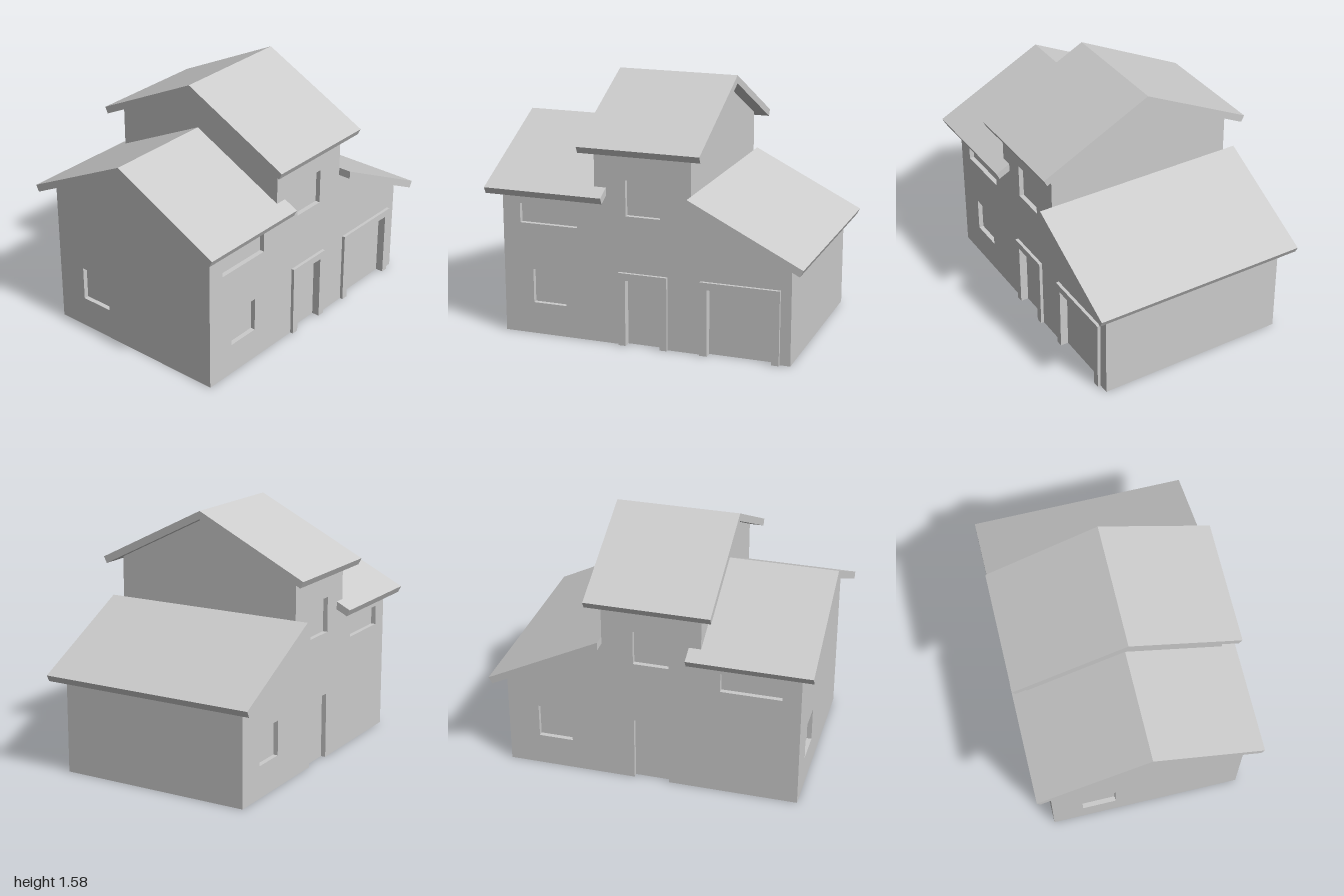
import * as THREE from 'three';

const material = new THREE.MeshStandardMaterial({ color: 0xcccccc });

const HALF_DEPTH = 0.61;   // outer wall face in z
const RECESS = 0.03;       // depth of windows and doors
const INNER = HALF_DEPTH - RECESS;
const LEFT = -0.92, RIGHT = 0.91, TOWER_L = -0.315, TOWER_R = 0.295;
const SLOPE = 0.5;
const EMBED = 0.02;        // walls reach a little into the roofs

const shapeOf = (points) => new THREE.Shape(points.map(([x, y]) => new THREE.Vector2(x, y)));

function rectHole([x0, x1, y0, y1]) {
  return new THREE.Path([[x0, y0], [x0, y1], [x1, y1], [x1, y0]].map(([x, y]) => new THREE.Vector2(x, y)));
}

// Extrudes a front-facing (x, y) profile from z0 to z1
function prismZ(name, shape, z0, z1) {
  const geometry = new THREE.ExtrudeGeometry(shape, { depth: z1 - z0, bevelEnabled: false });
  geometry.translate(0, 0, z0);
  const mesh = new THREE.Mesh(geometry, material);
  mesh.name = name;
  return mesh;
}

// Extrudes a side (-z, y) profile from x0 to x1
function prismX(name, shape, x0, x1) {
  const geometry = new THREE.ExtrudeGeometry(shape, { depth: x1 - x0, bevelEnabled: false });
  geometry.rotateY(Math.PI / 2);
  geometry.translate(x0, 0, 0);
  const mesh = new THREE.Mesh(geometry, material);
  mesh.name = name;
  return mesh;
}

// Five-sided gable profile that follows the underside of a roof
function gableShape(ridge) {
  const top = ridge - 0.05 + EMBED;
  const eave = top - INNER * SLOPE;
  return shapeOf([[-INNER, 0], [INNER, 0], [INNER, eave], [0, top], [-INNER, eave]]);
}

// Chevron profile of a gable roof
function roofShape(ridge) {
  return shapeOf([
    [0, ridge], [-0.7, ridge - 0.35], [-0.68, ridge - 0.39],
    [0, ridge - 0.05], [0.68, ridge - 0.39], [0.7, ridge - 0.35],
  ]);
}

// Full-width wall with doors notched into its foot and windows cut through
function facadeShape(doors, windows) {
  const points = [[LEFT, 0]];
  for (const [x0, x1, h] of doors) points.push([x0, 0], [x0, h], [x1, h], [x1, 0]);
  points.push(
    [RIGHT, 0], [RIGHT, 0.6125 + EMBED], [TOWER_R, 0.92 + EMBED],
    [TOWER_R, 1.225 + EMBED], [TOWER_L, 1.225 + EMBED],
    [TOWER_L, 0.925 + EMBED], [LEFT, 0.925 + EMBED],
  );
  const shape = shapeOf(points);
  shape.holes.push(...windows.map(rectHole));
  return shape;
}

// Raised surround around a door opening
function doorFrame(name, [x0, x1, h]) {
  const w = 0.045;
  const shape = shapeOf([
    [x0 - w, 0], [x0, 0], [x0, h], [x1, h],
    [x1, 0], [x1 + w, 0], [x1 + w, h + w], [x0 - w, h + w],
  ]);
  return prismZ(name, shape, HALF_DEPTH, HALF_DEPTH + 0.02);
}

export function createModel() {
  const house = new THREE.Group();
  house.name = 'house';

  const frontDoor = [-0.117, 0.102, 0.415];
  const garageDoor = [0.4, 0.8, 0.415];
  const towerWindow = [-0.117, 0.102, 0.81, 1.03];
  const slotWindow = [-0.807, -0.432, 0.705, 0.827];

  // Solid volumes behind the outer walls
  house.add(
    prismX('leftWing', gableShape(1.28), LEFT + RECESS, TOWER_L),
    prismX('tower', gableShape(1.58), TOWER_L, TOWER_R),
    prismZ('garageWing', shapeOf([
      [TOWER_R, 0], [RIGHT, 0], [RIGHT, 0.6125 + EMBED], [TOWER_R, 0.92 + EMBED],
    ]), -INNER, INNER),
  );

  // Outer walls with recessed openings
  house.add(
    prismZ('frontWall', facadeShape(
      [frontDoor, garageDoor],
      [slotWindow, towerWindow, [-0.728, -0.512, 0.2, 0.415]],
    ), INNER, HALF_DEPTH),
    prismZ('backWall', facadeShape(
      [frontDoor],
      [slotWindow, towerWindow, [0.5, 0.715, 0.2, 0.415]],
    ), -HALF_DEPTH, -INNER),
  );
  const sideShape = gableShape(1.28);
  sideShape.holes.push(rectHole([0.2, 0.415, 0.2, 0.415]));
  house.add(prismX('leftWall', sideShape, LEFT, LEFT + RECESS));

  // Door surrounds
  house.add(doorFrame('frontDoorFrame', frontDoor), doorFrame('garageDoorFrame', garageDoor));

  // Roofs
  house.add(
    prismX('leftRoof', roofShape(1.28), -1, -0.24),
    prismX('towerRoof', roofShape(1.58), -0.39, 0.375),
    prismZ('garageRoof', shapeOf([
      [TOWER_R, 0.92], [0.977, 0.58], [0.998, 0.62], [TOWER_R, 0.97],
    ]), -0.69, 0.69),
  );

  return house;
}
